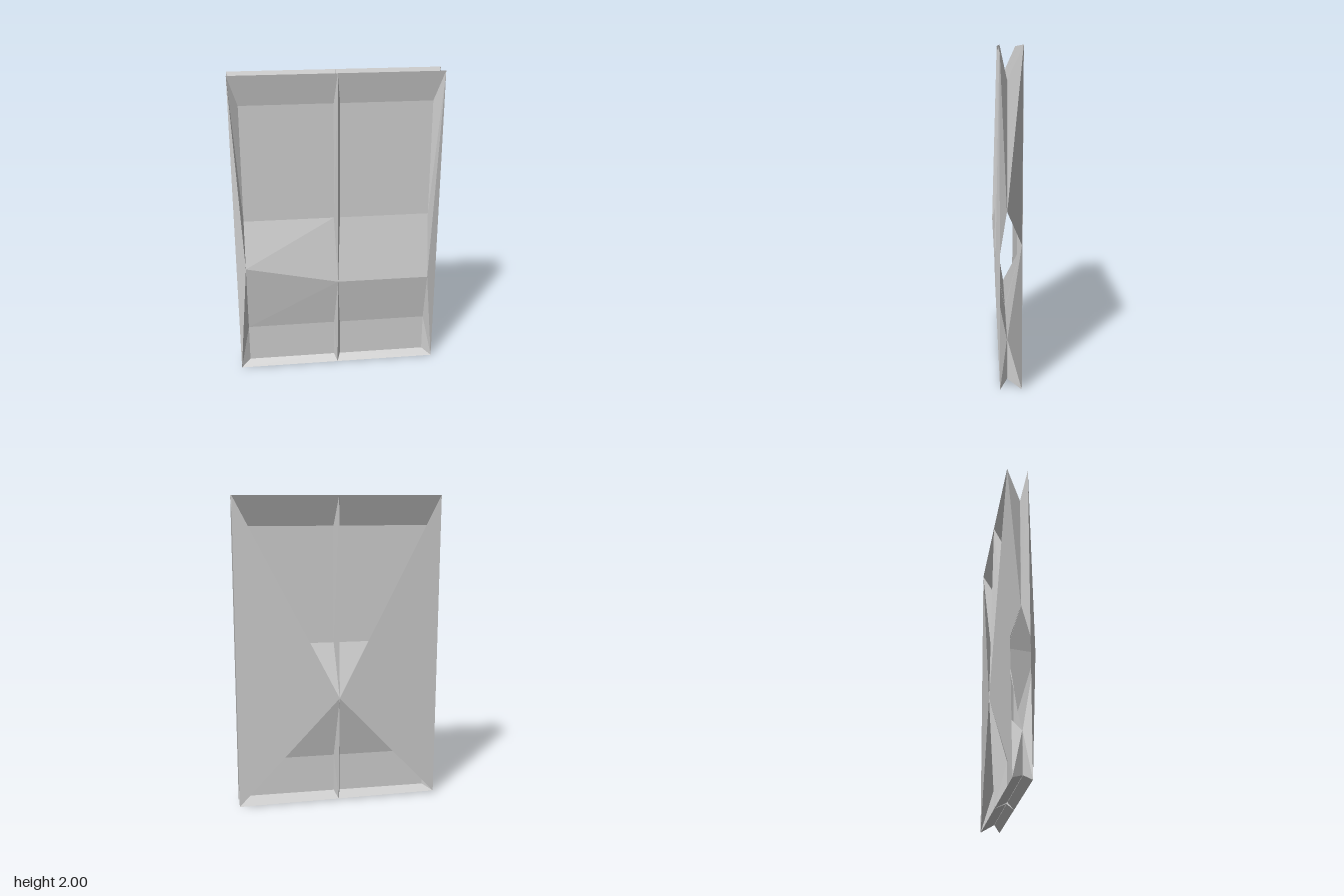
import * as THREE from 'three';

const stone = new THREE.MeshStandardMaterial({ color: 0xcccccc, side: THREE.DoubleSide });
stone.name = 'pale grey';

// Column of points running down one vertical edge of a bay:
// rim, recess, recess, ridge, recess, recess, rim
function column(rimX, recessX, recessZ, topZ, bottom, ridge) {
  const recess = (y) => [recessX, y, recessZ];
  return [
    [rimX, 2, topZ], recess(1.81), recess(1.06), ridge,
    recess(0.29), recess(0.04), [rimX, ...bottom],
  ];
}

function meshFrom(name, triangles, flip) {
  const positions = [];
  for (const [a, b, c] of triangles) {
    if (String(a) === String(b) || String(b) === String(c)) continue;
    positions.push(...a, ...(flip ? c : b), ...(flip ? b : c));
  }
  const geometry = new THREE.BufferGeometry();
  geometry.setAttribute('position', new THREE.Float32BufferAttribute(positions, 3));
  geometry.computeVertexNormals();
  const mesh = new THREE.Mesh(geometry, stone);
  mesh.name = name;
  return mesh;
}

// Panel with sloping top and bottom flanges, spanning two columns
function panel(inner, outer) {
  const tris = [];
  for (let i = 0; i < inner.length - 1; i++) {
    tris.push([inner[i], inner[i + 1], outer[i + 1]], [inner[i], outer[i + 1], outer[i]]);
  }
  return tris;
}

// Side flange fanned from the rim corners, and the web reaching the ridge
function flange([top, r1, r2, ridge, r3, r4, bottom]) {
  return [
    [top, r1, r2], [top, r2, ridge], [top, ridge, bottom],
    [bottom, ridge, r3], [bottom, r3, r4],
  ];
}

function bay(label, side, face, spec) {
  const group = new THREE.Group();
  group.name = label;
  const inner = column(0, 0.02 * side, spec.recessZ, spec.topZ, spec.midBottom, spec.innerRidge);
  const outer = column(0.66 * side, 0.6 * side, spec.recessZ, spec.topZ, spec.bottom, spec.outerRidge);
  const flip = side * face < 0;
  group.add(
    meshFrom('panel', panel(inner, outer), flip),
    meshFrom('outerFlange', flange(outer), flip),
    meshFrom('middleFlange', flange(inner), !flip),
  );
  return group;
}

export function createModel() {
  const model = new THREE.Group();
  model.name = 'doublePanel';
  for (const side of [1, -1]) {
    const name = side > 0 ? 'left' : 'right';
    // Front: a horizontal ridge running the whole width
    model.add(bay(name + 'FrontBay', side, 1, {
      recessZ: 0.016, topZ: 0.058, bottom: [0, 0.058], midBottom: [0, 0.058],
      innerRidge: [0, 0.63, 0.085],
      outerRidge: side > 0 ? [0.6, 0.63, 0.085] : [-0.6, 0.76, 0.095],
    }));
    // Back: both bays drawn out to one central point
    model.add(bay(name + 'BackBay', side, -1, {
      recessZ: 0.014, topZ: -0.074, midBottom: [0.005, -0.06],
      bottom: side > 0 ? [0, -0.07] : [0.01, -0.05],
      innerRidge: [0, 0.71, -0.098],
      outerRidge: [0, 0.71, -0.098],
    }));
  }
  return model;
}
